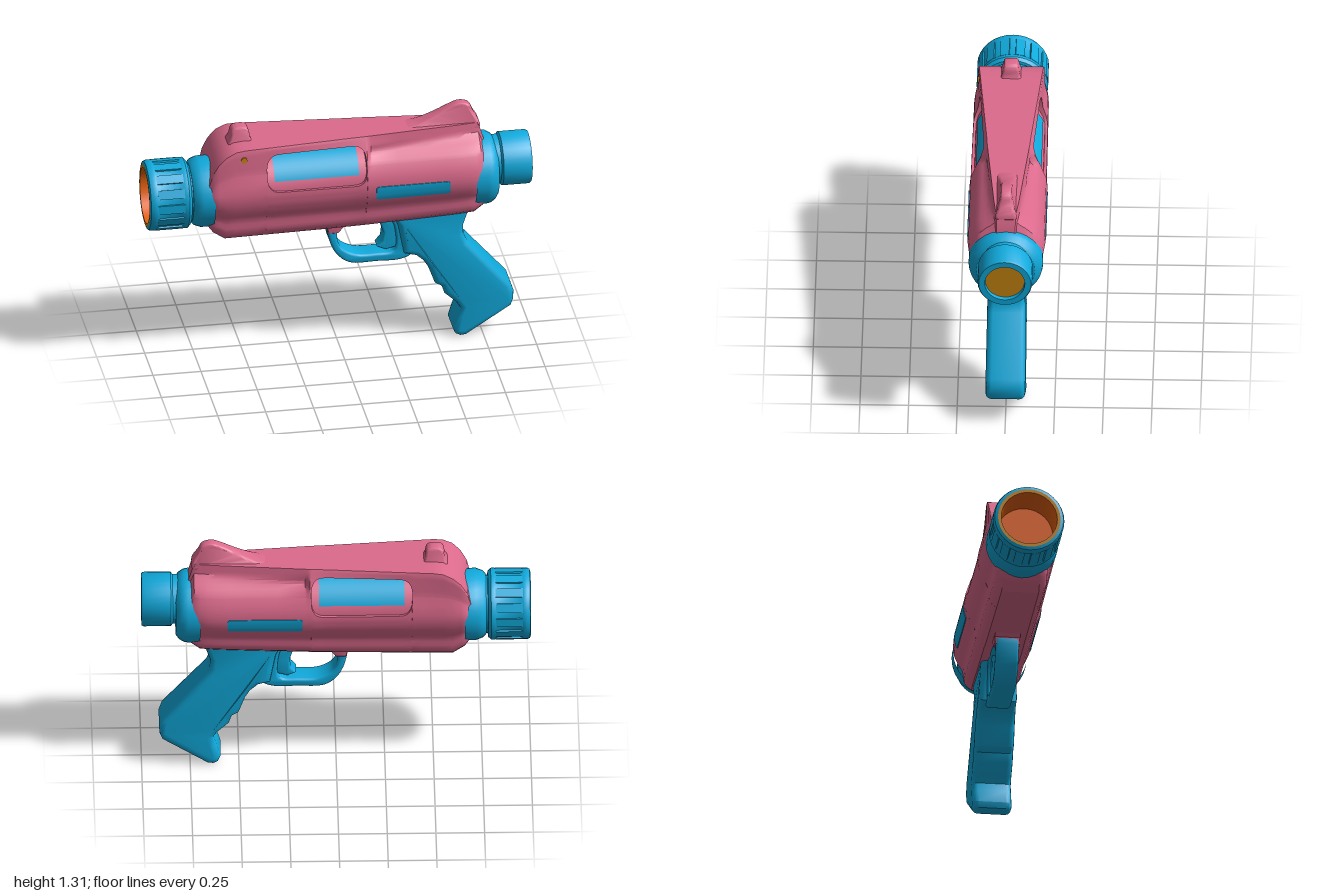
import * as THREE from 'three';
import { toCreasedNormals } from 'three/addons/utils/BufferGeometryUtils.js';

const paint = (name, color) => {
  const m = new THREE.MeshStandardMaterial({ color });
  m.name = name;
  return m;
};

// Linear interpolation through [key, value] pairs
const interp = (t, v) => {
  if (v <= t[0][0]) return t[0][1];
  for (let i = 1; i < t.length; i++) {
    if (v <= t[i][0]) return THREE.MathUtils.mapLinear(v, t[i - 1][0], t[i][0], t[i - 1][1], t[i][1]);
  }
  return t[t.length - 1][1];
};

// Body outline along x
const TOP = [[-0.69, 1.02], [-0.675, 1.08], [-0.64, 1.14], [-0.6, 1.18], [-0.55, 1.205], [-0.5, 1.21], [0.73, 1.21], [0.76, 1.11]];
const BOTTOM = [[-0.69, 0.76], [-0.66, 0.72], [-0.6, 0.68], [0, 0.69], [0.5, 0.71], [0.7, 0.72], [0.76, 0.76]];
const WIDTH = [[-0.69, 0.86], [-0.66, 0.94], [-0.6, 0.96], [0.05, 0.98], [0.13, 1], [0.62, 1], [0.7, 0.96], [0.76, 0.85]];
const RIDGE = [[-0.6, 0.175], [0.72, 0.055]];
const LOWER = [[0.68, 0.1], [0.7, 0.125], [0.73, 0.142], [0.8, 0.148], [0.85, 0.175], [0.9, 0.193], [0.95, 0.2]];

// Half width of the body at x and nominal height y
function halfWidth(x, y) {
  const r = interp(RIDGE, x);
  const flat = [...LOWER, [1.0, 0.195], [1.08, 0.5 * (0.185 + Math.max(r, 0.15))], [1.2, r + 0.005], [1.21, r]];
  const round = [...LOWER, [1.0, 0.194], [1.05, 0.175], [1.09, 0.15], [1.13, Math.max(0.1, r)], [1.15, r + 0.008], [1.21, r]];
  const k = THREE.MathUtils.smoothstep(x, 0.135, 0.16);
  return THREE.MathUtils.lerp(interp(flat, y), interp(round, y), k) * interp(WIDTH, x);
}

// Half height of the rounded side window at x
function windowHalf(x) {
  const e = Math.min(x + 0.39, 0.13 - x, 0.08);
  return e <= 0 ? 0 : 0.1 * Math.cbrt(1 - (1 - e / 0.08) ** 3);
}

// Mirrored section between two nominal heights
function section(x, y0, y1, rows, offset = 0) {
  const side = [];
  for (let j = 0; j <= rows; j++) {
    const y = THREE.MathUtils.lerp(y0, y1, j / rows);
    const end = y > 0.95 ? (interp(TOP, x) - 0.95) / 0.26 : (0.95 - interp(BOTTOM, x)) / 0.27;
    side.push([x, 0.95 + (y - 0.95) * end, halfWidth(x, y) + offset]);
  }
  return [...side, ...side.map(([a, b, c]) => [a, b, -c]).reverse()];
}

// Skin closed sections along x and cap both ends
function loft(sections, crease = 0.6) {
  const n = sections[0].length, pos = [], idx = [];
  sections.forEach(s => s.forEach(p => pos.push(...p)));
  for (let i = 0; i < sections.length - 1; i++) {
    for (let j = 0; j < n; j++) {
      const k = (j + 1) % n, a = i * n, b = a + n;
      idx.push(a + j, b + j, b + k, a + j, b + k, a + k);
    }
  }
  const last = (sections.length - 1) * n;
  for (let j = 1; j < n - 1; j++) idx.push(0, j, j + 1, last, last + j + 1, last + j);
  const g = new THREE.BufferGeometry();
  g.setAttribute('position', new THREE.Float32BufferAttribute(pos, 3));
  g.setIndex(idx);
  return toCreasedNormals(g, crease);
}

// Turned part along x from [radius, x] points
function turned(points, y, segments = 32) {
  const g = new THREE.LatheGeometry(points.map(p => new THREE.Vector2(...p)), segments);
  g.rotateZ(-Math.PI / 2).translate(0, y, 0);
  return toCreasedNormals(g, 0.6);
}

// Side silhouette given a thickness with rounded edges
function slab(shape, half, bevel) {
  const g = new THREE.ExtrudeGeometry(shape, {
    depth: 2 * (half - bevel), bevelThickness: bevel, bevelSize: bevel, bevelOffset: -bevel, bevelSegments: 3, curveSegments: 8,
  });
  return g.translate(0, 0, bevel - half);
}
const vectors = pts => pts.map(p => new THREE.Vector2(...p));
const smooth = (pts, n = 40) => new THREE.CatmullRomCurve3(pts.map(p => new THREE.Vector3(p[0], p[1], 0)), true)
  .getPoints(n).slice(0, n).map(p => new THREE.Vector2(p.x, p.y));

export function createModel() {
  const pink = paint('pink plastic', 0xdc6a8c), blue = paint('blue plastic', 0x10aadc);
  const gold = paint('gold', 0xc8860f), orange = paint('orange', 0xe8620f);
  const model = new THREE.Group();
  const add = (name, geometry, material) => {
    const m = new THREE.Mesh(geometry, material);
    m.name = name;
    model.add(m);
    return m;
  };

  // Body shell, split at the see-through window
  const xs = [-0.69, -0.675, -0.66, -0.64, -0.6, -0.55, -0.5, -0.44];
  const corner = [0, 0.0005, 0.003, 0.008, 0.018, 0.032, 0.05, 0.08];
  corner.forEach(e => xs.push(-0.39 + e));
  xs.push(-0.22, -0.13, -0.04);
  [...corner].reverse().forEach(e => xs.push(0.13 - e));
  xs.push(0.135, 0.147, 0.16, 0.3, 0.45, 0.55, 0.62, 0.66, 0.7, 0.73, 0.745, 0.76);
  add('lowerBody', loft(xs.map(x => section(x, 0.68, 1.07 - windowHalf(x), 16))), pink);
  add('upperBody', loft(xs.map(x => section(x, 1.07 + windowHalf(x), 1.21, 8))), pink);

  // Inner tube seen through the window
  add('innerTube', turned([[0, -0.42], [0.18, -0.42], [0.18, 0.16], [0, 0.16]], 0.95), pink);
  const panel = new THREE.CylinderGeometry(0.183, 0.183, 0.44, 24, 1, true, Math.PI / 2 - 1.17, 2.34);
  add('windowPanel', panel.rotateZ(Math.PI / 2).translate(-0.13, 0.95, 0), blue);

  // Side stripes and screw
  const stripeXs = [0.175, 0.185, 0.3, 0.45, 0.55, 0.56];
  add('sideStripes', loft(stripeXs.map((x, i) => {
    const inset = i % 5 ? 0 : 0.008;
    return section(x, 0.877 + inset, 0.96 - inset, 5, 0.004);
  })), blue);
  const screw = new THREE.CylinderGeometry(0.016, 0.016, 0.008, 12).rotateX(Math.PI / 2);
  add('screw', screw.translate(-0.51, 1.16, halfWidth(-0.51, 1.16) + 0.002), gold);

  // Front collar and ribbed muzzle
  add('frontCollar', turned([[0, -0.77], [0.155, -0.77], [0.172, -0.755], [0.185, -0.72], [0.185, -0.66]], 0.915), blue);
  add('muzzle', turned([[0.162, -1], [0.178, -0.995], [0.184, -0.98], [0.184, -0.96], [0.176, -0.945], [0.176, -0.83],
    [0.184, -0.815], [0.184, -0.795], [0.17, -0.78], [0.15, -0.778], [0.15, -0.75]], 0.915), blue);
  for (let i = 0; i < 14; i++) {
    const a = (i + 0.5) / 14 * Math.PI * 2;
    const rib = add('muzzleRib', new THREE.BoxGeometry(0.14, 0.016, 0.048), blue);
    rib.position.set(-0.888, 0.915 + Math.cos(a) * 0.175, Math.sin(a) * 0.175);
    rib.rotation.x = a;
  }
  add('muzzleRim', turned([[0.145, -1], [0.162, -1]], 0.915), gold);
  add('muzzleBore', turned([[0, -0.8], [0.145, -0.8], [0.145, -1]], 0.915), orange);

  // Rear collar and barrel
  add('rearCollar', turned([[0.19, 0.7], [0.192, 0.76], [0.188, 0.785], [0.172, 0.81], [0.15, 0.825], [0, 0.825]], 0.925), blue);
  add('rearBarrel', turned([[0.128, 0.8], [0.128, 0.84], [0.14, 0.85], [0.14, 0.99], [0.134, 1], [0.103, 1], [0.1, 0.975]], 0.965), blue);
  add('rearDisc', turned([[0.102, 0.978], [0, 0.978]], 0.965), gold);

  // Grip
  const grip = new THREE.Shape(vectors([[0.27, 0.74], [0.31, 0.66], [0.325, 0.58], [0.34, 0.5], [0.40, 0.485], [0.44, 0.45],
    [0.465, 0.41], [0.5, 0.315], [0.535, 0.295], [0.55, 0.25], [0.61, 0.195], [0.63, 0.165], [0.617, 0.12], [0.593, 0.045],
    [0.605, 0.015], [0.63, 0.002], [0.66, 0.005], [0.895, 0.155], [0.908, 0.19], [0.91, 0.235], [0.895, 0.28],
    [0.67, 0.54], [0.65, 0.585], [0.648, 0.635], [0.67, 0.7], [0.69, 0.74]]));
  const gripGeo = slab(grip, 0.102, 0.03), gp = gripGeo.attributes.position;
  for (let i = 0; i < gp.count; i++) {
    gp.setZ(i, gp.getZ(i) * interp([[0.45, 1], [0.62, 0.92], [0.74, 0.9]], gp.getY(i)));
  }
  add('grip', toCreasedNormals(gripGeo, 0.7), blue);

  // Trigger guard, its front foot and the trigger
  const guard = new THREE.Shape(smooth([[-0.05, 0.7], [-0.052, 0.62], [-0.01, 0.515], [0.06, 0.46], [0.2, 0.455], [0.33, 0.457],
    [0.39, 0.49], [0.4, 0.62], [0.36, 0.72], [0.15, 0.735]]));
  guard.holes.push(new THREE.Path(smooth([[0, 0.65], [0.05, 0.685], [0.17, 0.69], [0.27, 0.69], [0.3, 0.6], [0.29, 0.51],
    [0.2, 0.5], [0.09, 0.505], [0.02, 0.545], [-0.005, 0.6]])));
  add('triggerGuard', toCreasedNormals(slab(guard, 0.06, 0.012), 0.7), blue);
  const foot = new THREE.Shape(vectors([[-0.1, 0.7], [-0.06, 0.675], [-0.053, 0.64], [0, 0.64], [0.025, 0.67], [0.07, 0.7]]));
  add('guardFoot', toCreasedNormals(slab(foot, 0.066, 0.006), 0.5), pink);
  const trigger = new THREE.Shape(vectors([[0.2, 0.71], [0.222, 0.66], [0.238, 0.61], [0.232, 0.56], [0.205, 0.53],
    [0.25, 0.51], [0.32, 0.53], [0.35, 0.6], [0.35, 0.71]]));
  add('trigger', toCreasedNormals(slab(trigger, 0.045, 0.012), 0.7), blue);

  // Sights, flared at the base
  const sight = (name, pts, half, flare) => {
    const g = slab(new THREE.Shape(smooth(pts, 36)), half, 0.01), p = g.attributes.position;
    for (let i = 0; i < p.count; i++) {
      p.setZ(i, p.getZ(i) * interp([[1.2, flare], [1.23, 0.5 + flare / 2], [1.28, 1]], p.getY(i)));
    }
    add(name, toCreasedNormals(g, 0.7), pink);
  };
  sight('frontSight', [[-0.575, 1.18], [-0.56, 1.22], [-0.55, 1.265], [-0.535, 1.278], [-0.48, 1.278], [-0.465, 1.265],
    [-0.455, 1.22], [-0.44, 1.18]], 0.034, 1.6);
  sight('rearSight', [[0.33, 1.2], [0.42, 1.222], [0.5, 1.255], [0.58, 1.295], [0.64, 1.315], [0.69, 1.3], [0.71, 1.26],
    [0.735, 1.215], [0.74, 1.18], [0.5, 1.18]], 0.028, 2);

  return model;
}
